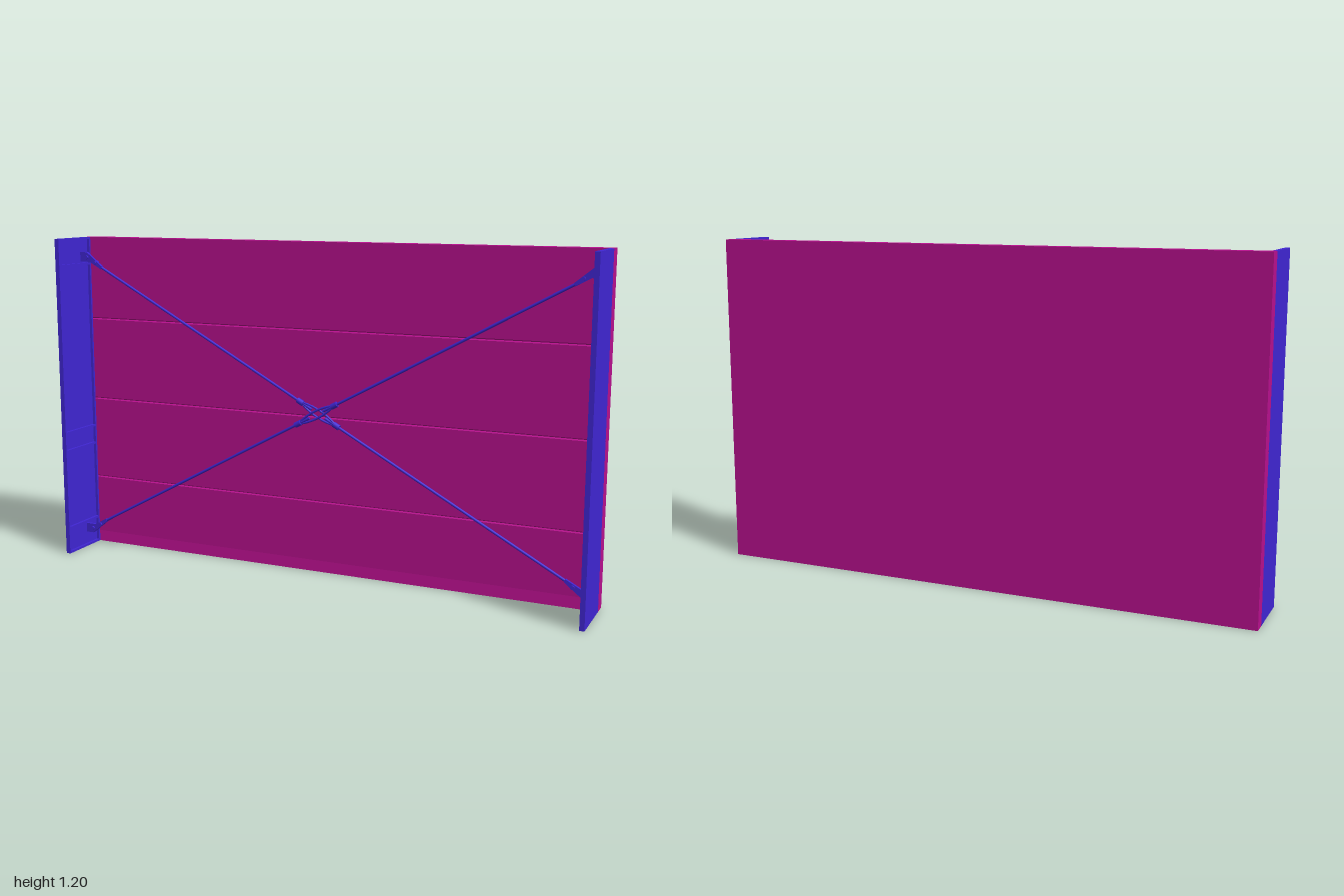
import * as THREE from 'three';

const magenta = new THREE.MeshStandardMaterial({ color: 0xb8108e });
const blue = new THREE.MeshStandardMaterial({ color: 0x4026d4 });

function add(parent, geometry, material, name, x = 0, y = 0, z = 0) {
  const mesh = new THREE.Mesh(geometry, material);
  mesh.name = name;
  mesh.position.set(x, y, z);
  parent.add(mesh);
  return mesh;
}

const box = (w, h, d) => new THREE.BoxGeometry(w, h, d);

// Boarded back panel: a profile with drip edge and board grooves, extruded along x
function createPanel() {
  const back = -0.125, front = -0.075, g = 0.005;
  const s = new THREE.Shape();
  s.moveTo(-back, 0);
  s.lineTo(-front, 0);
  s.lineTo(-front + g, 0.042);
  s.lineTo(-front, 0.042);
  for (const y of [0.265, 0.578, 0.89]) {
    s.lineTo(-front, y - 0.004);
    s.lineTo(-front + g, y);
    s.lineTo(-front, y + 0.004);
  }
  s.lineTo(-front, 1.2);
  s.lineTo(-back, 1.2);
  s.closePath();
  const geo = new THREE.ExtrudeGeometry(s, { depth: 2, bevelEnabled: false });
  // turn the profile so its x axis runs toward -z
  geo.translate(0, 0, -1).rotateY(Math.PI / 2);
  return geo;
}

// Channel-shaped side post: thin web, rims all round and cross ribs inside
function createPost(side) {
  const post = new THREE.Group();
  post.name = side > 0 ? 'leftPost' : 'rightPost';
  add(post, box(0.007, 1.2, 0.2), blue, 'web', side * 0.9965, 0.6, 0.025);
  for (const z of [-0.071, 0.121]) {
    add(post, box(0.017, 1.2, 0.008), blue, 'rim', side * 0.9915, 0.6, z);
  }
  for (const y of [0.004, 0.1, 0.4, 0.47, 1.1, 1.196]) {
    add(post, box(0.017, 0.008, 0.2), blue, 'rib', side * 0.9915, y, 0.025);
  }
  return post;
}

// Tapered end plate joining a rod to its post
function createEndPlate() {
  const s = new THREE.Shape();
  s.moveTo(0.99, 0.545);
  s.lineTo(0.96, 0.545);
  s.lineTo(0.895, 0.493);
  s.lineTo(0.9, 0.483);
  s.lineTo(0.95, 0.51);
  s.lineTo(0.99, 0.51);
  s.closePath();
  const geo = new THREE.ExtrudeGeometry(s, { depth: 0.01, bevelEnabled: false });
  return geo.translate(0, 0, -0.005);
}

// One diagonal tie rod with turnbuckle, collars and end plates
function createBrace(z, direction) {
  const brace = new THREE.Group();
  brace.name = direction > 0 ? 'risingBrace' : 'fallingBrace';
  const angle = Math.atan2(0.49, 0.9);
  const half = Math.hypot(0.9, 0.49);
  const line = new THREE.Group();
  line.name = 'tieRod';
  line.rotation.z = direction * angle;
  brace.add(line);

  for (const end of [-1, 1]) {
    const rod = new THREE.CylinderGeometry(0.0048, 0.0048, half - 0.03, 12).rotateZ(Math.PI / 2);
    add(line, rod, blue, 'rod', end * (half + 0.03) / 2);
    const collar = new THREE.CylinderGeometry(0.01, 0.01, 0.024, 12).rotateZ(Math.PI / 2);
    add(line, collar, blue, 'turnbuckleCollar', end * 0.08);
    // bowed turnbuckle arms
    const bow = new THREE.QuadraticBezierCurve3(
      new THREE.Vector3(-0.08, 0, 0),
      new THREE.Vector3(0, end * 0.026, 0),
      new THREE.Vector3(0.08, 0, 0));
    add(line, new THREE.TubeGeometry(bow, 16, 0.004, 8), blue, 'turnbuckleArm');

    // end plate, rotated half a turn for the opposite end, with a cross bolt
    const tip = new THREE.Group();
    tip.name = 'endFitting';
    tip.rotation.z = end > 0 ? 0 : Math.PI;
    if (direction < 0) tip.rotation.set(Math.PI, 0, tip.rotation.z);
    add(tip, createEndPlate(), blue, 'endPlate');
    for (const x of [0.925, 0.96]) {
      const bolt = new THREE.CylinderGeometry(0.007, 0.007, 0.024, 10).rotateX(Math.PI / 2);
      add(tip, bolt, blue, 'bolt', x, x * 0.53 + 0.017);
    }
    brace.add(tip);
  }
  brace.position.set(0, 0.6, z);
  return brace;
}

export function createModel() {
  const model = new THREE.Group();
  model.name = 'bracedWallPanel';
  add(model, createPanel(), magenta, 'panel');
  for (const side of [-1, 1]) model.add(createPost(side));
  model.add(createBrace(-0.003, 1), createBrace(-0.022, -1));
  return model;
}
